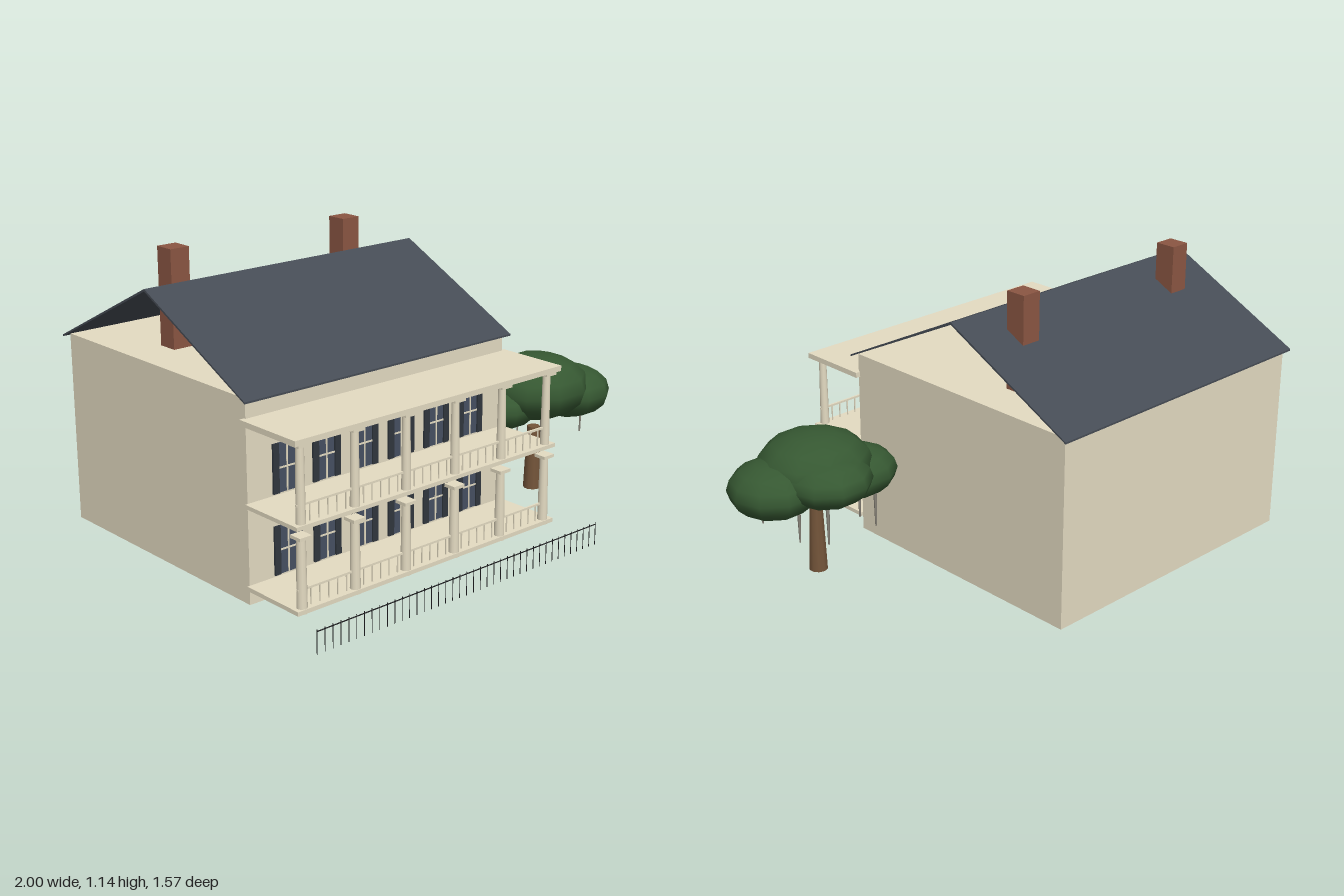
import * as THREE from 'three';

const mat = (name, color) => {
  const m = new THREE.MeshStandardMaterial({ color });
  m.name = name;
  return m;
};

export function createModel() {
  const root = new THREE.Group();
  root.name = 'porchHouse';
  const plaster = mat('plaster', 0xe4dbc2);
  const slate = mat('slate', 0x464c55);
  const brick = mat('brick', 0x8b5643);
  const glass = mat('glass', 0x465062);
  const shutterPaint = mat('shutterPaint', 0x30363e);
  const iron = mat('iron', 0x1c1c1e);
  const bark = mat('bark', 0x74553a);
  const leaf = mat('leaf', 0x365832);
  const moss = mat('moss', 0x8c877c);
  const underside = mat('underside', 0x56564a);

  const group = (name, parent = root) => {
    const g = new THREE.Group();
    g.name = name;
    parent.add(g);
    return g;
  };
  const add = (name, geo, m, x, y, z, parent = root) => {
    const mesh = new THREE.Mesh(geo, m);
    mesh.name = name;
    mesh.position.set(x, y, z);
    parent.add(mesh);
    return mesh;
  };
  // box given by its limits on each axis
  const block = (name, m, x0, x1, y0, y1, z0, z1, parent = root) =>
    add(name, new THREE.BoxGeometry(x1 - x0, y1 - y0, z1 - z0), m,
      (x0 + x1) / 2, (y0 + y1) / 2, (z0 + z1) / 2, parent);

  const mid = -0.311; // centre line of the house

  // main body, with a dark bottom face (side order: +x -x +y -y +z -z)
  block('body', [plaster, plaster, plaster, underside, plaster, plaster],
    mid - 0.62, mid + 0.62, 0, 0.757, -0.765, 0.336);

  // two thin roof slopes, open at the gables
  const roofShape = new THREE.Shape([
    [0.36, 0.746], [0.36, 0.753], [-0.213, 1.037], [-0.785, 0.753], [-0.785, 0.746], [-0.213, 1.028],
  ].map(([z, y]) => new THREE.Vector2(-z, y)));
  const roofGeo = new THREE.ExtrudeGeometry(roofShape, { depth: 1.28, bevelEnabled: false });
  roofGeo.rotateY(Math.PI / 2); // shape x becomes -z, depth becomes x
  add('roof', roofGeo, slate, mid - 0.64, 0, 0);

  // chimneys
  for (const x of [-0.726, 0.1])
    block('chimney', brick, x - 0.041, x + 0.041, 0.755, 1.137, -0.393, -0.309);

  // porch decks and porch roof
  const porch = group('porch');
  block('lowerDeck', plaster, mid - 0.63, mid + 0.63, 0.057, 0.073, 0.336, 0.615, porch);
  block('upperDeck', plaster, mid - 0.63, mid + 0.63, 0.363, 0.378, 0.336, 0.615, porch);
  block('porchRoof', plaster, mid - 0.64, mid + 0.64, 0.664, 0.685, 0.328, 0.625, porch);

  // tapered columns with square caps, and railings, on both storeys
  const zc = 0.593;
  for (const [y0, y1, r, deck] of [[0.054, 0.337, 0.02, 0.073], [0.378, 0.664, 0.018, 0.378]]) {
    const storey = group('porchStorey', porch);
    for (let i = 0; i < 6; i++) {
      const x = mid - 0.595 + i * 0.238;
      const h = y1 - 0.012 - y0;
      add('column', new THREE.CylinderGeometry(r * 0.82, r, h, 12), [plaster, plaster, underside],
        x, y0 + h / 2, zc, storey);
      block('columnCap', plaster, x - 0.026, x + 0.026, y1 - 0.012, y1, zc - 0.026, zc + 0.026, storey);
    }
    block('handrail', plaster, mid - 0.615, mid + 0.615, deck + 0.062, deck + 0.07, zc - 0.004, zc + 0.004, storey);
    for (let i = 0; i <= 30; i++) {
      const x = mid - 0.595 + (i * 1.19) / 30;
      block('baluster', plaster, x - 0.002, x + 0.002, deck, deck + 0.062, zc - 0.002, zc + 0.002, storey);
    }
  }

  // shuttered windows on the front wall
  const windows = group('windows');
  for (const y of [0.08, 0.385]) {
    for (let i = 0; i < 6; i++) {
      const x = mid + (i - 2.5) * 0.179;
      const w = group('window', windows);
      const top = y + 0.184;
      block('pane', glass, x - 0.036, x + 0.036, y, top, 0.335, 0.339, w);
      for (const s of [-1, 1]) {
        const c = x + s * 0.05;
        block('shutter', shutterPaint, c - 0.013, c + 0.013, y, top, 0.335, 0.344, w);
      }
      block('verticalBar', plaster, x - 0.003, x + 0.003, y, top, 0.336, 0.342, w);
      block('crossBar', plaster, x - 0.036, x + 0.036, y + 0.089, y + 0.095, 0.336, 0.342, w);
    }
  }

  // fine iron fence
  const fence = group('fence');
  const zf = 0.783;
  block('fenceRail', iron, -1, 0.375, 0.081, 0.084, zf - 0.0015, zf + 0.0015, fence);
  for (let i = 0; i <= 40; i++) {
    const x = -0.999 + (i * 1.373) / 40;
    block('picket', iron, x - 0.001, x + 0.001, 0, 0.09, zf - 0.001, zf + 0.001, fence);
  }

  // tree with flattened leaf clumps and hanging moss
  const tree = group('tree');
  add('trunk', new THREE.CylinderGeometry(0.026, 0.037, 0.268, 10), [bark, bark, underside],
    0.65, 0.134, 0.2, tree);
  const clumps = [
    [0.65, 0.443, 0.2, 0.228, 0.134, 0.218],
    [0.493, 0.383, 0.155, 0.172, 0.098, 0.155],
    [0.825, 0.394, 0.225, 0.175, 0.108, 0.177],
    [0.675, 0.425, 0.1, 0.176, 0.098, 0.18],
  ];
  for (const [x, y, z, rx, ry, rz] of clumps)
    add('leafClump', new THREE.SphereGeometry(1, 10, 8), leaf, x, y, z, tree).scale.set(rx, ry, rz);
  const strands = [
    [0.477, 0.175, 0.055], [0.51, 0.205, 0.11], [0.6, 0.2, 0.29],
    [0.708, 0.178, 0.055], [0.8, 0.2, 0.11], [0.835, 0.225, 0.29],
  ];
  for (const [x, y, z] of strands)
    add('mossStrand', new THREE.CylinderGeometry(0.008, 0.003, 0.16, 6), moss, x, y + 0.08, z, tree);

  return root;
}
